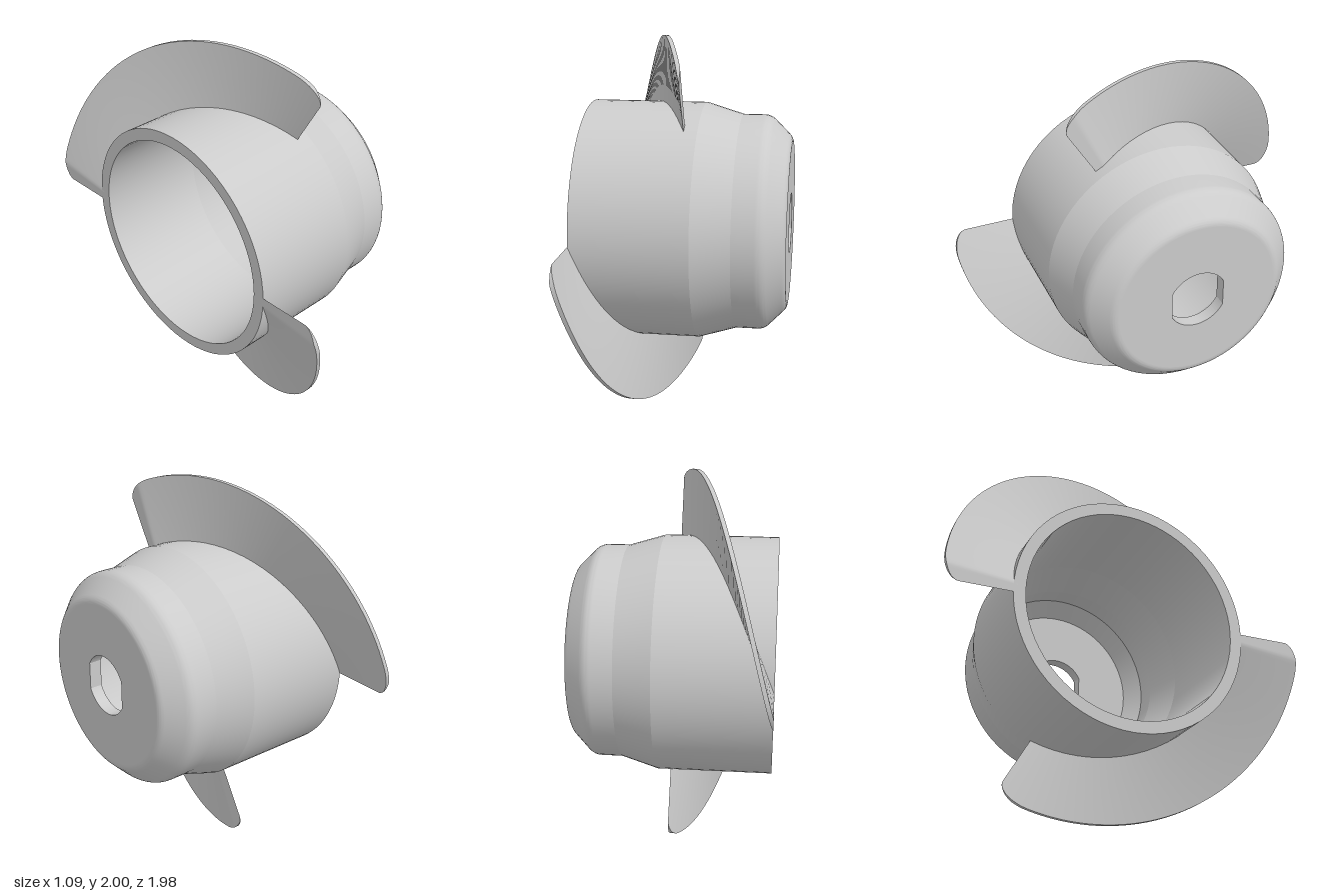
import * as THREE from 'three';
import { toCreasedNormals } from 'three/addons/utils/BufferGeometryUtils.js';

const BACK = -0.545, FRONT = 0.54; // hub extent along its x axis
const material = new THREE.MeshStandardMaterial({ color: 0xcccccc });
const V = (r, x) => new THREE.Vector2(r, x);
const bend = (a, b, c) => new THREE.QuadraticBezierCurve(a, b, c).getPoints(8);

// Hollow shell: inside wall down to the open rim, then the outside up to the nose
function shellGeometry() {
  const profile = [
    V(0.44, 0.47), V(0.52, 0.39), V(0.52, 0.27), V(0.58, 0.07), V(0.58, BACK),
    V(0.645, BACK), V(0.645, 0.07), V(0.585, 0.27),
    ...bend(V(0.585, 0.385), V(0.585, 0.42), V(0.56, 0.445)),
    ...bend(V(0.485, 0.52), V(0.465, FRONT), V(0.44, FRONT)),
  ];
  const g = new THREE.LatheGeometry(profile, 72);
  g.rotateZ(-Math.PI / 2);
  return toCreasedNormals(g, 0.22);
}

// Nose plate with a double-flatted shaft hole
function noseGeometry() {
  const shape = new THREE.Shape().absarc(0, 0, 0.44, 0, Math.PI * 2);
  const r = 0.163, a = Math.acos(0.145 / r);
  const hole = new THREE.Path();
  hole.absarc(0, 0, r, a, Math.PI - a);
  hole.absarc(0, 0, r, Math.PI + a, 2 * Math.PI - a);
  hole.closePath();
  shape.holes.push(hole);
  const g = new THREE.ExtrudeGeometry(shape, { depth: 0.07, bevelEnabled: false, curveSegments: 36 });
  g.rotateY(Math.PI / 2);
  g.translate(FRONT - 0.07, 0, 0);
  return toCreasedNormals(g, 0.3);
}

// Helical blade, trimmed flat at both ends, with rounded tip corners
function bladeGeometry() {
  const n = 72, start = -31, end = 91, thick = 0.023, corner = 10;
  const pitch = (thick - BACK) / (end - start);
  const clampX = (x) => THREE.MathUtils.clamp(x, BACK, 0);
  const pos = [], index = [];
  for (let i = 0; i <= n; i++) {
    const deg = (start + end) / 2 - ((end - start) / 2) * Math.cos((Math.PI * i) / n);
    const phi = THREE.MathUtils.degToRad(deg);
    const u = Math.min(1, Math.max(0, Math.min(deg - start, end - deg)) / corner);
    const tip = 0.92 + 0.08 * Math.sqrt(1 - (1 - u) ** 2);
    const xb = -(deg - start) * pitch;
    const back = clampX(xb), front = clampX(xb + thick);
    for (const [x, r] of [[back, 0.62], [back, tip], [front, tip], [front, 0.62]])
      pos.push(x, r * Math.cos(phi), -r * Math.sin(phi));
    if (i === n) break;
    for (let j = 0; j < 4; j++) {
      const a = i * 4 + j, b = i * 4 + ((j + 1) % 4), c = b + 4, d = a + 4;
      index.push(b, c, d, b, d, a);
    }
  }
  const g = new THREE.BufferGeometry();
  g.setAttribute('position', new THREE.Float32BufferAttribute(pos, 3));
  g.setIndex(index);
  return toCreasedNormals(g, 0.6);
}

export function createModel() {
  const model = new THREE.Group();
  model.name = 'impeller';
  const add = (name, geometry) => {
    const mesh = new THREE.Mesh(geometry, material);
    mesh.name = name;
    mesh.position.y = 1;
    model.add(mesh);
    return mesh;
  };
  add('hubShell', shellGeometry());
  add('nosePlate', noseGeometry());
  // Two blades, half a turn apart
  const blade = bladeGeometry();
  add('upperBlade', blade);
  add('lowerBlade', blade).rotation.x = Math.PI;
  return model;
}
